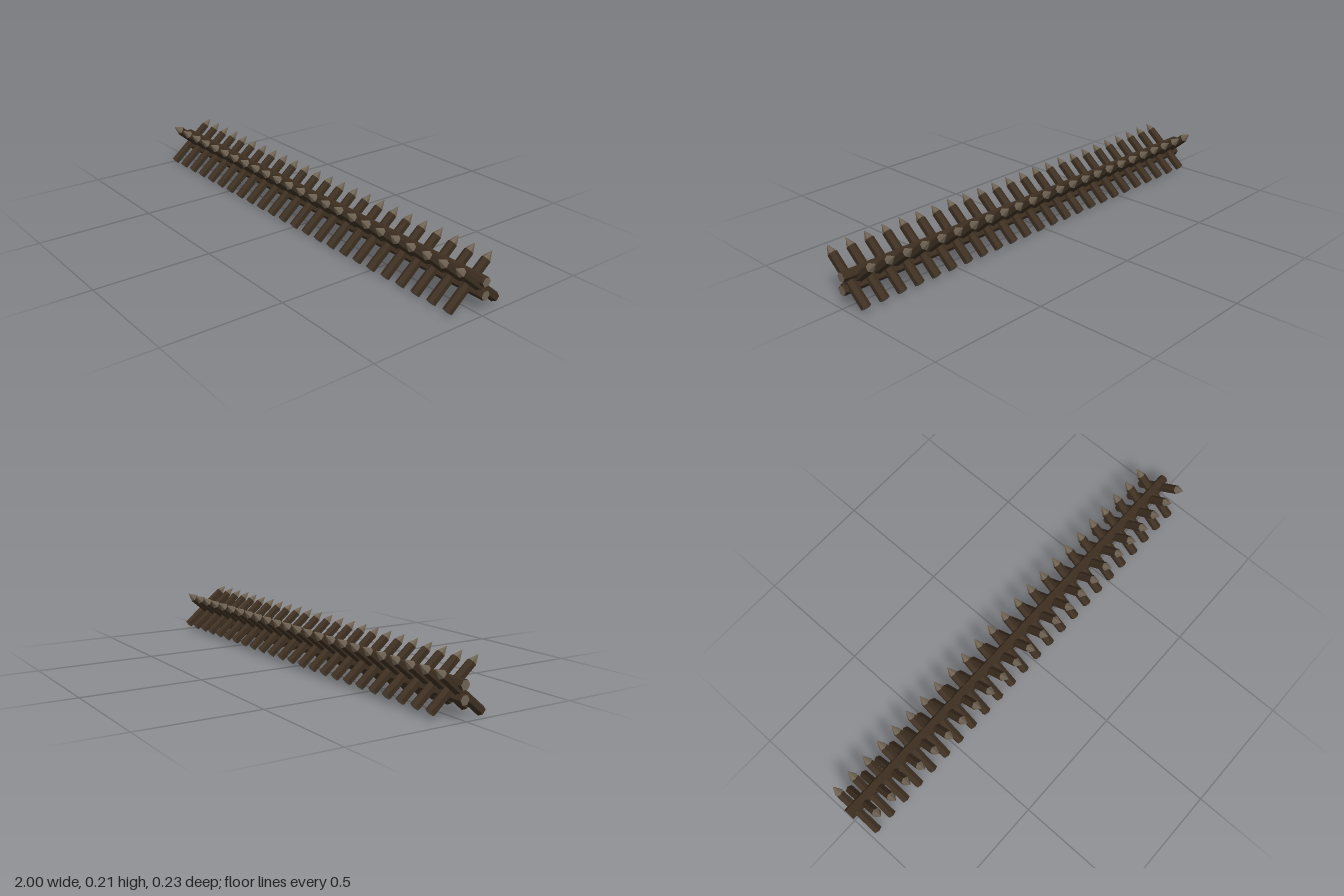
import * as THREE from 'three';

const R = 0.02;        // log radius
const TIP = 0.04;      // length of the sharpened point
const PAIRS = 24;
const PITCH = 0.0821;  // spacing of crossed pairs

export function createModel() {
  const model = new THREE.Group();
  model.name = 'spikedBarricade';
  const bark = new THREE.MeshStandardMaterial({ color: 0x3d2f21, flatShading: true });
  const cutWood = new THREE.MeshStandardMaterial({ color: 0x6e6252, flatShading: true });

  // Two hexagonal rails, one above and one below the crossing
  const railGeo = new THREE.CylinderGeometry(R, R, 2, 6).rotateZ(Math.PI / 2);
  for (const [name, y] of [['upperRail', 0.13], ['lowerRail', 0.077]]) {
    const rail = new THREE.Mesh(railGeo, [bark, cutWood, cutWood]);
    rail.name = name;
    rail.position.set(0, y, -0.009);
    model.add(rail);
  }

  // Sharpened stake running from its foot to its tip, in the yz plane
  const LENGTH = 0.275;
  const shaftGeo = new THREE.CylinderGeometry(R * 0.96, R, LENGTH - TIP, 6)
    .translate(0, (LENGTH - TIP) / 2, 0);
  const tipGeo = new THREE.ConeGeometry(R * 0.96, TIP, 6, 1, true)
    .translate(0, LENGTH - TIP / 2, 0);
  function addStake(name, x, foot, tip) {
    const stake = new THREE.Group();
    stake.name = name;
    const shaft = new THREE.Mesh(shaftGeo, [bark, bark, cutWood]);
    shaft.name = 'shaft';
    const point = new THREE.Mesh(tipGeo, cutWood);
    point.name = 'point';
    stake.add(shaft, point);
    stake.position.set(x, foot.y, foot.z);
    stake.rotation.x = Math.atan2(tip.z - foot.z, tip.y - foot.y);
    model.add(stake);
  }

  // Stakes alternate between leaning back and leaning forward
  for (let i = 0; i < PAIRS; i++) {
    const x = (i - (PAIRS - 1) / 2) * PITCH;
    addStake('backLeaningStake', x - PITCH / 4, { y: 0.0155, z: 0.097 }, { y: 0.192, z: -0.113 });
    addStake('frontLeaningStake', x + PITCH / 4, { y: 0.03, z: -0.096 }, { y: 0.208, z: 0.115 });
  }
  return model;
}
